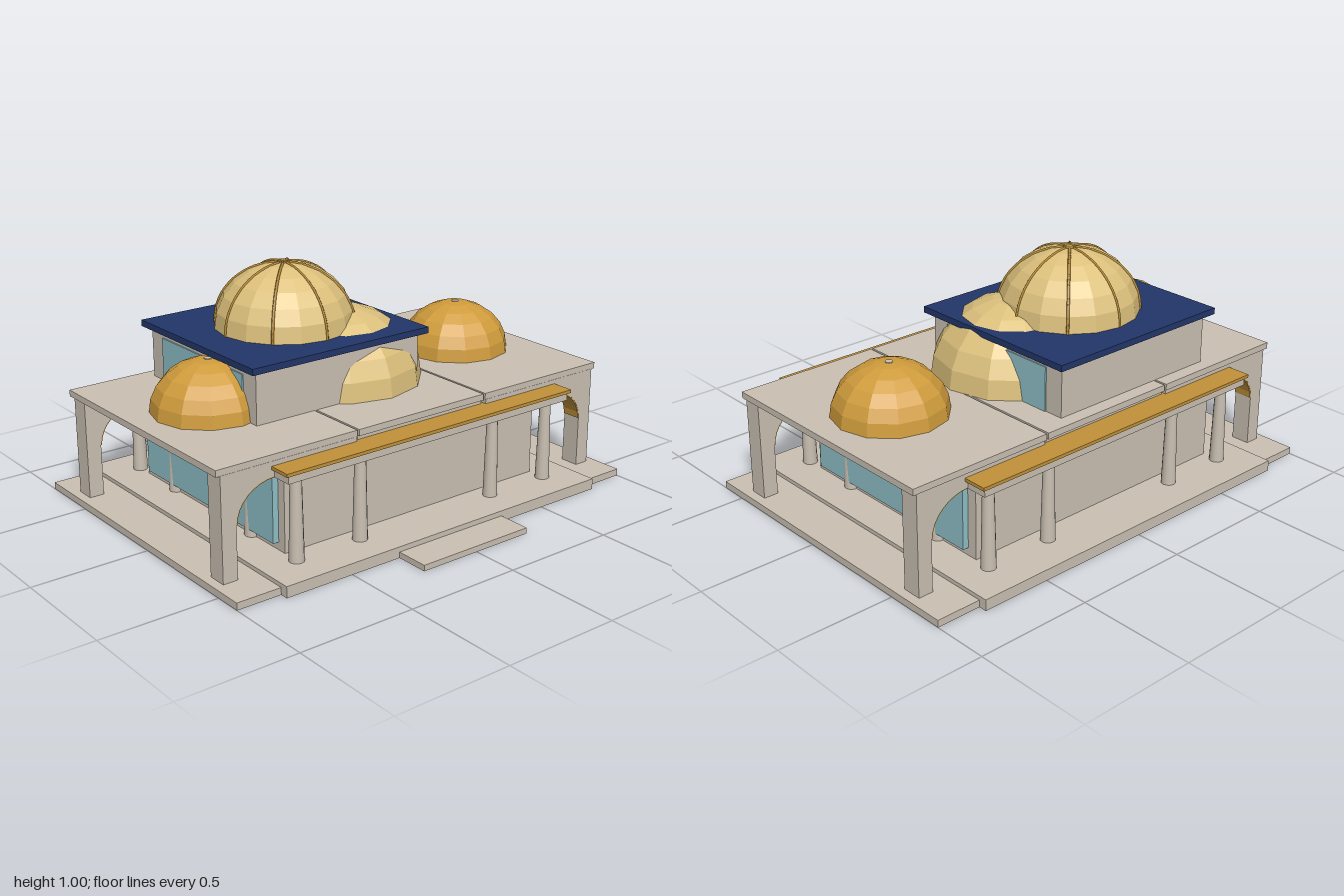
import * as THREE from 'three';

const mat = (name, color, extra = {}) => {
  const m = new THREE.MeshStandardMaterial({ color, ...extra });
  m.name = name;
  return m;
};

export function createModel() {
  const stone = mat('stone', 0xcbc1b3);
  const gold = mat('domeGold', 0xd09c3c, { flatShading: true });
  const trim = mat('trimGold', 0xc1923a);
  const pale = mat('paleGold', 0xdcc07c, { flatShading: true });
  const navy = mat('navyRoof', 0x22366a);
  const glass = mat('glass', 0x8fc1c9);

  const model = new THREE.Group();
  model.name = 'domedPavilion';
  const add = (name, geo, m, x = 0, y = 0, z = 0) => {
    const mesh = new THREE.Mesh(geo, m);
    mesh.name = name;
    mesh.position.set(x, y, z);
    model.add(mesh);
    return mesh;
  };
  // Box given by its limits on each axis
  const box = (name, m, x0, x1, y0, y1, z0, z1) =>
    add(name, new THREE.BoxGeometry(x1 - x0, y1 - y0, z1 - z0), m,
      (x0 + x1) / 2, (y0 + y1) / 2, (z0 + z1) / 2);

  // Stepped base
  box('lowerBase', stone, -1, 1, 0, 0.03, -0.765, 0.62);
  box('upperBase', stone, -0.805, 0.805, 0, 0.047, -0.8, 0.655);
  box('frontStep', stone, -0.27, 0.27, 0, 0.025, 0.655, 0.8);

  // Ground floor hall with glazed sides
  box('hallBody', stone, -0.65, 0.65, 0.047, 0.4, -0.57, 0.43);
  for (const s of [-1, 1]) {
    const g = box('sideGlass', glass, 0.65, 0.676, 0.08, 0.37, -0.525, 0.39);
    g.position.x *= s;
  }

  // Tapered columns on all sides
  const columnGeo = new THREE.CylinderGeometry(0.023, 0.031, 0.35, 12);
  for (const z of [0.505, -0.64])
    for (const x of [-0.65, -0.345, 0.345, 0.65]) add('column', columnGeo, stone, x, 0.222, z);
  for (const x of [-0.65, 0.65])
    for (const z of [0.21, -0.345]) add('sideColumn', columnGeo, stone, x, 0.222, z);

  // Entablature and gold cornice
  box('entablature', stone, -0.722, 0.722, 0.395, 0.428, -0.703, 0.56);
  box('cornice', trim, -0.735, 0.735, 0.428, 0.442, -0.713, 0.57);
  box('roofCore', stone, -0.322, 0.322, 0.442, 0.46, -0.6, 0.46);
  box('coreGlass', glass, 0.322, 0.326, 0.442, 0.46, -0.07, 0.37);

  // Roof panels
  const panels = [[-0.978, -0.333], [-0.323, 0.323], [0.333, 0.978]];
  for (const [a, b] of panels) box('roofPanel', stone, a, b, 0.46, 0.487, -0.615, 0.472);

  // Arched wing frames with gold linings
  const arc = (inset) => {
    const pts = [];
    for (let i = 0; i <= 8; i++) {
      const t = (Math.PI / 2) * (1 - i / 8);
      pts.push([0.72 + (0.175 - inset) * Math.cos(t), 0.25 + (0.15 - inset) * Math.sin(t)]);
    }
    return pts;
  };
  const plate = (pts, s, depth) => new THREE.ExtrudeGeometry(
    new THREE.Shape(pts.map(([x, y]) => new THREE.Vector2(s * x, y))),
    { depth, bevelEnabled: false });
  const frame = [[0.336, 0.4], ...arc(0), [0.895, 0.03], [0.96, 0.03], [0.96, 0.461], [0.336, 0.461]];
  const lining = [...arc(0), ...arc(0.005).reverse()];
  for (const s of [-1, 1])
    for (const z of [0.39, -0.61]) {
      add('archFrame', plate(frame, s, 0.083), stone, 0, 0, z);
      add('archLining', plate(lining, s, 0.081), trim, 0, 0, z + 0.001);
    }

  // Upper hall and its flat roof
  box('upperHall', stone, -0.61, 0.2, 0.48, 0.705, -0.555, 0.2);
  box('upperGlassLeft', glass, 0.2, 0.206, 0.487, 0.675, -0.47, 0.115);
  box('upperGlassRight', glass, -0.616, -0.61, 0.487, 0.675, -0.47, 0.115);
  box('upperRoof', navy, -0.64, 0.236, 0.703, 0.73, -0.59, 0.225);

  // Faceted domes
  const domeGeo = (r, h, sides, rows) => {
    const pts = [];
    for (let i = 0; i <= rows; i++) {
      const t = (Math.PI / 2) * (i / rows);
      pts.push(new THREE.Vector2(Math.max(r * Math.cos(t), 0), h * Math.sin(t)));
    }
    return new THREE.LatheGeometry(pts, sides);
  };
  for (const x of [-0.65, 0.65]) {
    add('sideDome', domeGeo(0.238, 0.214, 12, 6), gold, x, 0.487, -0.07);
    add('sideDomeCap', new THREE.CylinderGeometry(0.016, 0.016, 0.008, 12), stone, x, 0.698, -0.07);
  }
  add('middleDome', domeGeo(0.35, 0.315, 12, 6), pale, 0, 0.487, -0.07);
  add('mainDome', domeGeo(0.294, 0.265, 16, 6), pale, -0.2, 0.73, -0.18);

  // Ribs and crown of the main dome
  const ribPts = [];
  for (let i = 0; i <= 8; i++) {
    const t = (i / 8) * 1.5;
    ribPts.push(new THREE.Vector3(0, 0.264 * Math.sin(t), 0.294 * Math.cos(t)));
  }
  const ribGeo = new THREE.TubeGeometry(new THREE.CatmullRomCurve3(ribPts), 16, 0.006, 4);
  for (let i = 0; i < 8; i++) add('rib', ribGeo, trim, -0.2, 0.73, -0.18).rotation.y = (i * Math.PI) / 4;
  const crown = add('crownRing', new THREE.TorusGeometry(0.022, 0.005, 4, 16), trim, -0.2, 0.995, -0.18);
  crown.rotation.x = Math.PI / 2;

  return model;
}
